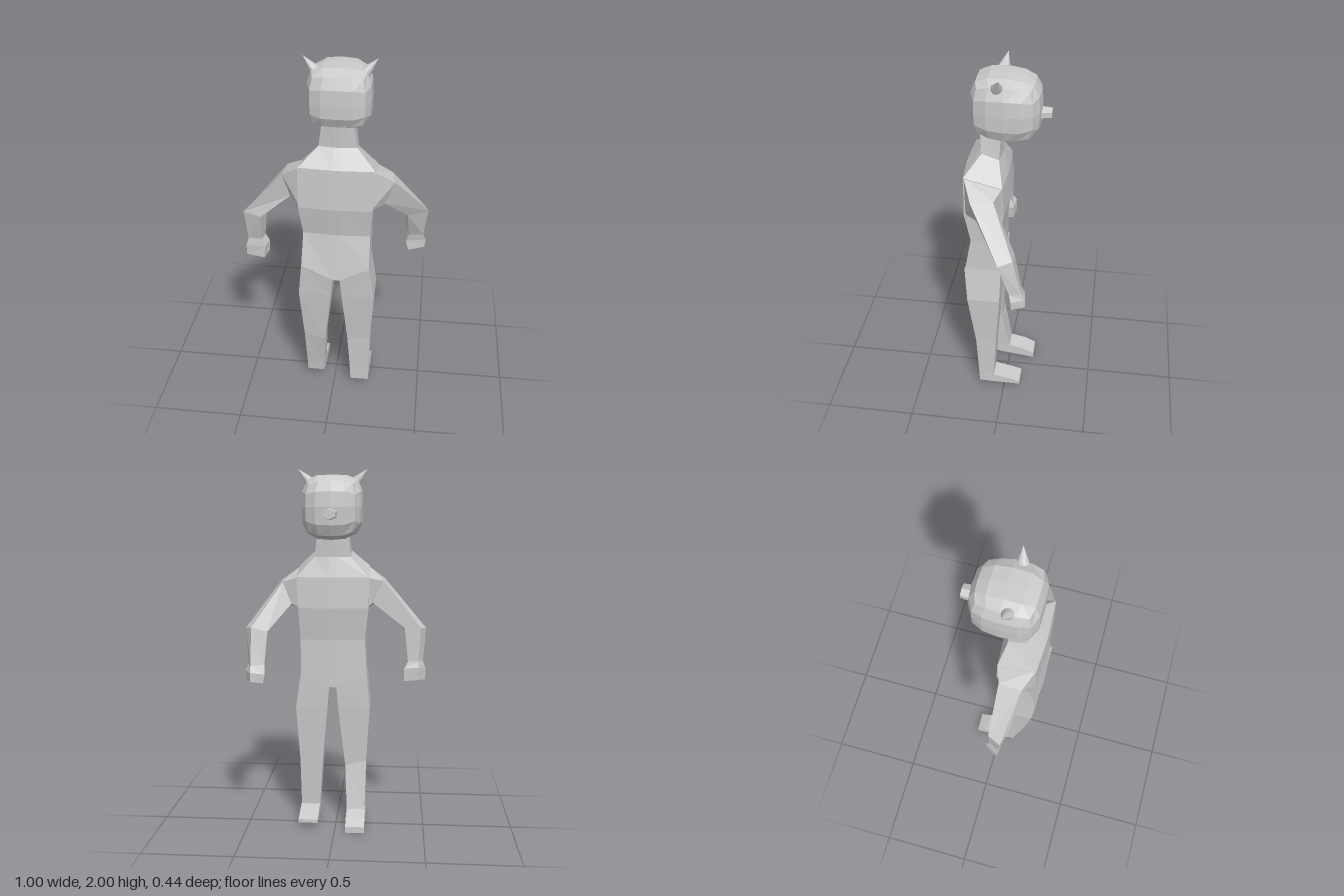
import * as THREE from 'three';

const mat = new THREE.MeshStandardMaterial({ color: 0xcccccc, flatShading: true });
const smooth = new THREE.MeshStandardMaterial({ color: 0xcccccc, side: THREE.DoubleSide });

// Skin a list of rings (each an equal number of [x, y, z] corners) and cap both ends.
function loft(name, rings) {
  const tris = [];
  const n = rings[0].length;
  for (let r = 0; r < rings.length - 1; r++) {
    for (let i = 0; i < n; i++) {
      const j = (i + 1) % n;
      const a = rings[r][i], b = rings[r][j], c = rings[r + 1][j], d = rings[r + 1][i];
      tris.push([a, b, c], [a, c, d]);
    }
  }
  const cap = (ring, flip) => {
    const mid = [0, 1, 2].map(k => ring.reduce((s, p) => s + p[k], 0) / n);
    ring.forEach((p, i) => {
      const q = ring[(i + 1) % n];
      tris.push(flip ? [mid, q, p] : [mid, p, q]);
    });
  };
  cap(rings[0], true);
  cap(rings[rings.length - 1], false);
  // Turn the faces outward if the enclosed volume comes out negative
  const volume = tris.reduce((s, t) => {
    const [a, b, c] = t.map(p => new THREE.Vector3(...p));
    return s + a.dot(b.cross(c));
  }, 0);
  if (volume < 0) tris.forEach(t => t.reverse());
  const geo = new THREE.BufferGeometry();
  geo.setAttribute('position', new THREE.Float32BufferAttribute(tris.flat(2), 3));
  geo.computeVertexNormals();
  const mesh = new THREE.Mesh(geo, mat);
  mesh.name = name;
  return mesh;
}

// Torso and neck: x0, x1, back y, back z, front y, front z, middle drop
function torso() {
  const rows = [
    [-0.06, 0.10, 1.70, 0.13, 1.70, 0.02, 0],
    [-0.08, 0.12, 1.56, 0.12, 1.53, 0.03, 0],
    [-0.18, 0.22, 1.47, 0.20, 1.42, 0.00, 0],
    [-0.18, 0.21, 1.24, 0.205, 1.25, -0.005, 0],
    [-0.16, 0.20, 1.07, 0.175, 1.07, 0.02, 0],
    [-0.17, 0.20, 0.88, 0.21, 0.88, 0.02, 0.08],
  ];
  return loft('torso', rows.map(([x0, x1, yb, zb, yf, zf, drop]) => [
    [x0, yb, zb], [0, yb - drop, zb + 0.01], [0.04, yb - drop, zb + 0.01], [x1, yb, zb],
    [x1, yf, zf], [0.04, yf - drop, zf - 0.01], [0, yf - drop, zf - 0.01], [x0, yf, zf],
  ]));
}

// Leg: outer x, outer y, inner x, inner y, back z, front z
const leg = (name, rows) => loft(name, rows.map(([xo, yo, xi, yi, zb, zf]) =>
  [[xo, yo, zb], [xi, yi, zb], [xi, yi, zf], [xo, yo, zf]]));

// Foot, heel to toe: z, bottom y, top y
const foot = (name, x0, x1, rows) => loft(name, rows.map(([z, y0, y1]) =>
  [[x0, y0, z], [x1, y0, z], [x1, y1, z], [x0, y1, z]]));

// Head: a subdivided box pulled toward a superellipsoid, narrower at the face
function head() {
  const geo = new THREE.BoxGeometry(2, 2, 2, 4, 4, 4);
  const pos = geo.attributes.position;
  for (let i = 0; i < pos.count; i++) {
    let [x, y, z] = [pos.getX(i), pos.getY(i), pos.getZ(i)];
    const e = z < 0 ? 3 : 4;
    const k = (Math.abs(x) ** e + Math.abs(y) ** e + Math.abs(z) ** e) ** (-1 / e);
    x *= k; y *= k; z *= k;
    const chin = y < 0 ? y * z * 0.03 : 0;
    pos.setXYZ(i, 0.02 + x * 0.165, 1.8 + y * 0.17 - chin * Math.sign(z) * Math.sign(z), z * 0.178);
    if (y < 0) pos.setY(i, 1.8 + y * (0.165 - z * 0.03));
  }
  geo.computeVertexNormals();
  const mesh = new THREE.Mesh(geo, mat);
  mesh.name = 'head';
  return mesh;
}

// Ear: a bulging cone leaning outward
function ear(name, side) {
  const h = 0.125;
  const geo = new THREE.ConeGeometry(0.042, h, 12, 4, true);
  const pos = geo.attributes.position;
  for (let i = 0; i < pos.count; i++) {
    const t = pos.getY(i) / h + 0.5;
    const f = 1 + 0.5 * t * (1 - t);
    pos.setX(i, pos.getX(i) * f * 0.85);
    pos.setZ(i, pos.getZ(i) * f);
  }
  geo.computeVertexNormals();
  const mesh = new THREE.Mesh(geo, smooth);
  const base = new THREE.Vector3(0.02 + side * 0.105, 1.91, 0.04);
  const tip = new THREE.Vector3(0.02 + side * 0.187, 2.0, 0.02);
  mesh.position.copy(base).lerp(tip, 0.5);
  mesh.quaternion.setFromUnitVectors(new THREE.Vector3(0, 1, 0), tip.sub(base).normalize());
  mesh.name = name;
  return mesh;
}

export function createModel() {
  const model = new THREE.Group();
  model.name = 'figure';
  model.add(torso(), head(), ear('rightEar', -1), ear('leftEar', 1));

  // Small snout on the face
  const snout = new THREE.Mesh(new THREE.CylinderGeometry(0.045, 0.037, 0.07, 6), mat);
  snout.rotation.x = Math.PI / 2;
  snout.scale.z = 0.72;
  snout.position.set(0.02, 1.765, -0.19);
  snout.name = 'snout';
  model.add(snout);

  // Legs and feet
  model.add(
    leg('rightLeg', [
      [-0.17, 0.88, 0, 0.80, 0.215, 0.015],
      [-0.19, 0.68, -0.01, 0.68, 0.20, 0.02],
      [-0.17, 0.36, -0.05, 0.33, 0.155, 0.045],
      [-0.165, 0.09, -0.062, 0.09, 0.10, 0.00],
      [-0.165, 0.03, -0.065, 0.03, 0.09, 0.00]]),
    leg('leftLeg', [
      [0.20, 0.88, 0.04, 0.80, 0.215, 0.015],
      [0.23, 0.68, 0.05, 0.68, 0.20, 0.02],
      [0.21, 0.36, 0.08, 0.36, 0.16, 0.045],
      [0.205, 0.09, 0.098, 0.09, 0.147, 0.06],
      [0.205, 0.03, 0.10, 0.03, 0.145, 0.06]]),
    foot('rightFoot', -0.168, -0.062, [[0.06, 0.028, 0.085], [0, 0.02, 0.085], [-0.09, 0.01, 0.065], [-0.15, 0, 0.035]]),
    foot('leftFoot', 0.098, 0.207, [[0.1, 0.03, 0.085], [0.06, 0.03, 0.085], [-0.02, 0.03, 0.07], [-0.095, 0.03, 0.05]]),
  );

  // Arms, shoulder to fist: outer back, outer front, inner front, inner back
  model.add(
    loft('rightArm', [
      [[-0.17, 1.47, 0.20], [-0.17, 1.42, 0], [-0.17, 1.25, 0], [-0.17, 1.24, 0.20]],
      [[-0.27, 1.40, 0.15], [-0.26, 1.40, 0.03], [-0.20, 1.28, 0.03], [-0.23, 1.27, 0.14]],
      [[-0.50, 1.13, 0.10], [-0.47, 1.14, 0.03], [-0.38, 1.14, 0.03], [-0.40, 1.12, 0.13]],
      [[-0.485, 0.95, 0.08], [-0.46, 0.95, 0.03], [-0.40, 0.95, 0.03], [-0.41, 0.95, 0.085]],
      [[-0.50, 0.90, 0.085], [-0.46, 0.92, 0.01], [-0.38, 0.91, 0.02], [-0.39, 0.90, 0.09]],
      [[-0.50, 0.84, 0.08], [-0.46, 0.85, 0.01], [-0.38, 0.84, 0.02], [-0.40, 0.83, 0.09]]]),
    loft('leftArm', [
      [[0.21, 1.47, 0.20], [0.21, 1.42, 0], [0.20, 1.25, 0], [0.20, 1.24, 0.20]],
      [[0.32, 1.39, 0.15], [0.30, 1.39, 0.035], [0.25, 1.27, 0.02], [0.27, 1.25, 0.13]],
      [[0.50, 1.14, -0.015], [0.46, 1.15, -0.085], [0.37, 1.13, -0.085], [0.39, 1.12, 0.02]],
      [[0.48, 0.95, -0.07], [0.46, 0.95, -0.13], [0.385, 0.95, -0.12], [0.40, 0.95, -0.06]],
      [[0.495, 0.91, -0.08], [0.46, 0.91, -0.15], [0.38, 0.90, -0.14], [0.385, 0.90, -0.07]],
      [[0.49, 0.86, -0.08], [0.46, 0.86, -0.15], [0.39, 0.85, -0.14], [0.40, 0.84, -0.07]]]),
  );
  return model;
}
